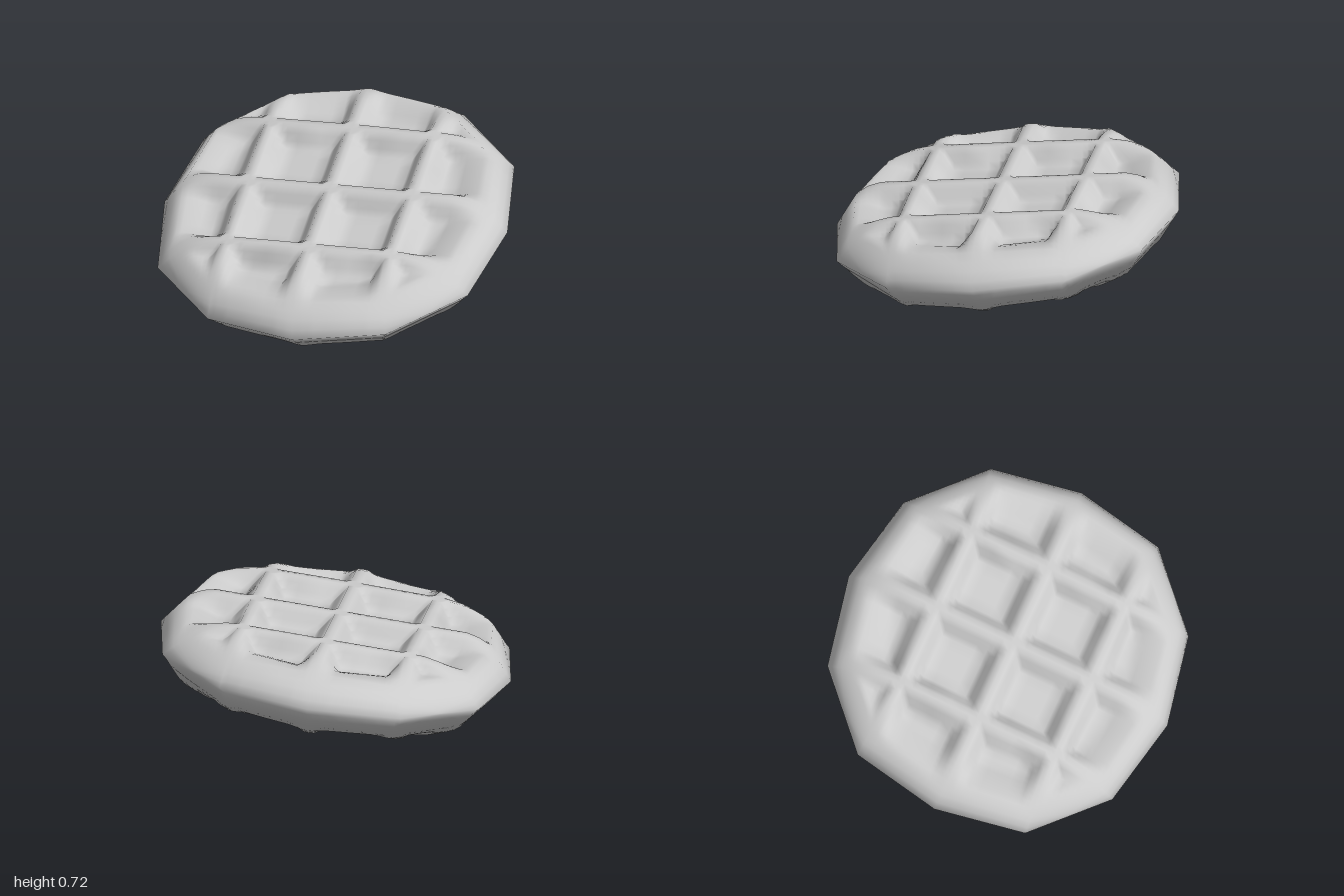
import * as THREE from 'three';
import { mergeGeometries, mergeVertices } from 'three/addons/utils/BufferGeometryUtils.js';

const { lerp, clamp } = THREE.MathUtils;
const ramp = (v, a, b) => clamp((v - a) / (b - a), 0, 1);

// One quarter of the four-by-four grid of cells: [x, z] of its corners, row by row
const NODES = [
  [[0, 0], [0.48, 0], [1.006, 0]],
  [[0, 0.48], [0.48, 0.48], [0.91, 0.52]],
  [[0, 0.99], [0.52, 0.885], [0.715, 0.7025]],
];
// One quarter of the outline
const OUTLINE = [NODES[0][2], NODES[1][2], NODES[2][1], NODES[2][0]];
// Rim cross-section: [fraction of outline radius, half thickness]
const RIM = [[0, 0.233], [0.72, 0.233], [0.8, 0.213], [0.867, 0.175], [1, 0]];
const DENT = 0.1;

// Grid lines across one half: an inner cell, then an outer cell with a finer rim
const CELL = [0, 0.06, 0.11, 0.17, 0.23, 0.36, 0.5, 0.64, 0.77, 0.83, 0.89, 0.94];
const OUTER = [0, 0.06, 0.11, 0.17, 0.23, 0.31, 0.39, 0.46, 0.53, 0.6, 0.67, 0.74, 0.81, 0.87, 0.94, 1];
const HALF = [...CELL, ...OUTER.map((t) => t + 1)];
const LINES = [...HALF.slice(1).reverse().map((t) => -t), ...HALF];

// Position inside a cell, blended between its four corners
function cellPoint(u, v) {
  const a = Math.abs(u), b = Math.abs(v);
  const i = Math.min(1, Math.floor(a)), j = Math.min(1, Math.floor(b));
  const at = (k) => lerp(
    lerp(NODES[j][i][k], NODES[j][i + 1][k], a - i),
    lerp(NODES[j + 1][i][k], NODES[j + 1][i + 1][k], a - i), b - j);
  return [Math.sign(u) * at(0), Math.sign(v) * at(1)];
}

// 0 at the centre, 1 on the twelve-sided outline
function outlineFraction(x, z) {
  let r = 0;
  for (let i = 0; i < 3; i++) {
    const [ax, az] = OUTLINE[i], [bx, bz] = OUTLINE[i + 1];
    const nx = bz - az, nz = ax - bx;
    r = Math.max(r, (nx * Math.abs(x) + nz * Math.abs(z)) / (nx * ax + nz * az));
  }
  return Math.min(1, r);
}

function rimHeight(r) {
  const i = Math.max(1, RIM.findIndex(([edge]) => r <= edge));
  const [r0, h0] = RIM[i - 1], [r1, h1] = RIM[i];
  return lerp(h0, h1, (r - r0) / (r1 - r0));
}

// 0 on a ridge, 1 on the floor of a pocket
function pocket(u, v) {
  const wall = (t) => ramp(Math.min(Math.abs(t), Math.abs(Math.abs(t) - 1)), 0.06, 0.23);
  return Math.min(wall(u), wall(v));
}

// Upper face; the round version only supplies soft normals
function face(round) {
  const n = LINES.length - 1;
  const g = new THREE.PlaneGeometry(2, 2, n, n).rotateX(-Math.PI / 2);
  g.deleteAttribute('uv');
  g.deleteAttribute('normal');
  LINES.forEach((v, row) => LINES.forEach((u, col) => {
    const [x, z] = cellPoint(u, v);
    const r = outlineFraction(x, z);
    const k = round && r > 0 ? r / Math.hypot(x, z) : 1;
    const base = round ? 0.233 * Math.sqrt(1 - r ** 5) : rimHeight(r);
    const dent = DENT * pocket(u, v) * (1 - ramp(r, 0.7, 0.88));
    g.attributes.position.setXYZ(row * (n + 1) + col, x * k, base - dent, z * k);
  }));
  return g;
}

// Upper face and its mirror image, joined along the rim
function body(round) {
  const top = face(round);
  const bottom = top.clone().scale(1, -1, 1);
  bottom.setIndex(Array.from(top.index.array).reverse());
  return mergeVertices(mergeGeometries([top, bottom]), 1e-4);
}

export function createModel() {
  const group = new THREE.Group();
  group.name = 'waffle';

  const geometry = body(false);
  const soft = body(true);
  soft.computeVertexNormals();
  geometry.setAttribute('normal', soft.attributes.normal);

  // Slight yaw and tilt, lifting the back and the left
  geometry.applyMatrix4(new THREE.Matrix4().makeRotationFromEuler(
    new THREE.Euler(0.16, 0.07, 0.085, 'XZY')));
  // Rest on the floor
  geometry.computeBoundingBox();
  geometry.translate(0, -geometry.boundingBox.min.y, 0);

  const mesh = new THREE.Mesh(geometry, new THREE.MeshStandardMaterial({ color: 0xcccccc }));
  mesh.name = 'waffleBody';
  group.add(mesh);
  return group;
}
